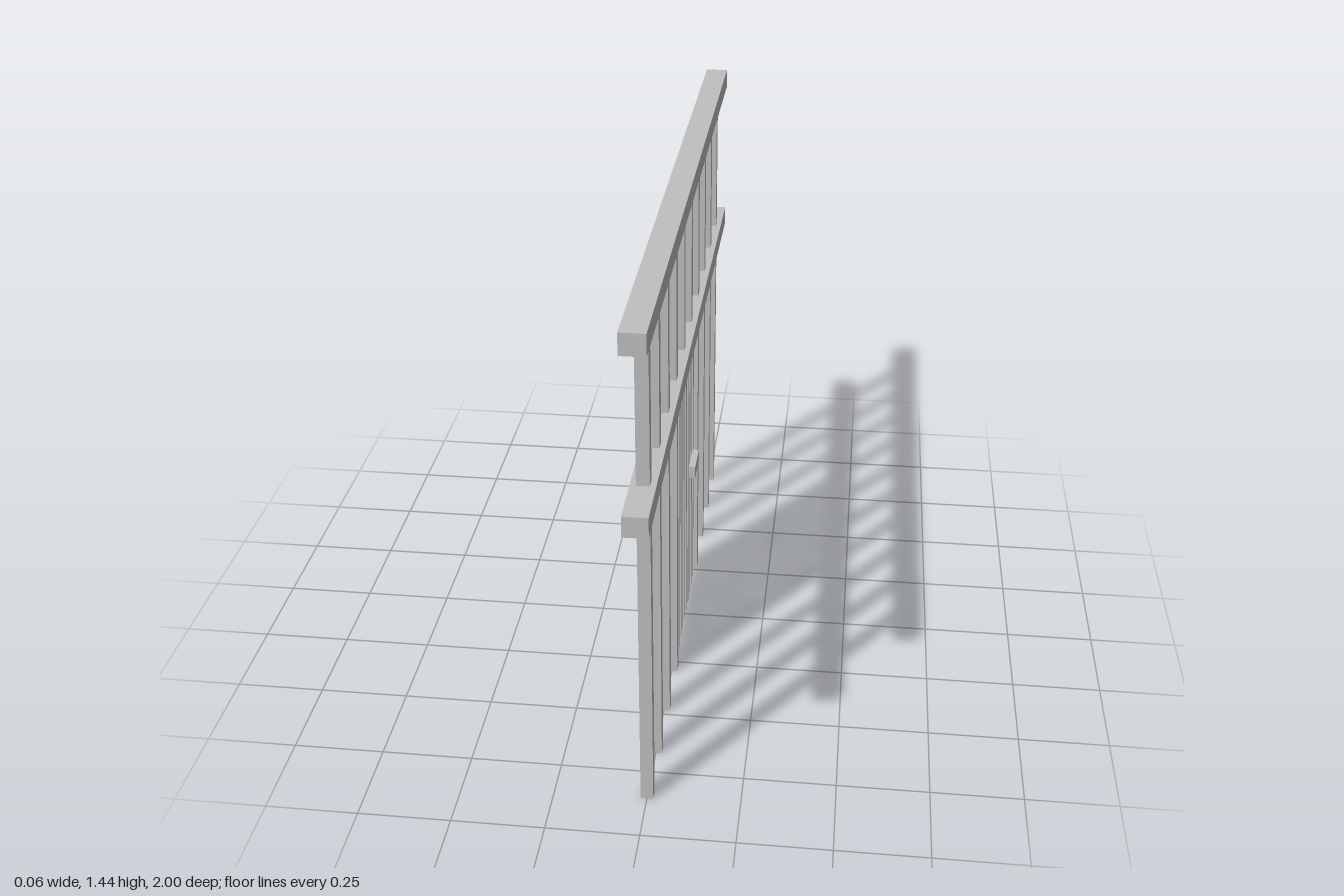
import * as THREE from 'three';

export function createModel() {
  const group = new THREE.Group();
  const grey = new THREE.MeshStandardMaterial({ color: 0xc0c0c0 });
  grey.name = 'light grey';

  // Box given its bottom and top heights
  const addBar = (name, width, depth, bottom, top, x, z) => {
    const mesh = new THREE.Mesh(new THREE.BoxGeometry(width, top - bottom, depth), grey);
    mesh.name = name;
    mesh.position.set(x, (bottom + top) / 2, z);
    group.add(mesh);
  };

  const rail = { width: 0.065, lowBottom: 0.909, lowTop: 0.966, highBottom: 1.381, highTop: 1.438 };

  // Two long horizontal rails
  addBar('middleRail', rail.width, 2, rail.lowBottom, rail.lowTop, 0, 0);
  addBar('topRail', rail.width, 2, rail.highBottom, rail.highTop, 0, 0);

  // Ten posts; the two in the middle stop above the gate
  for (let i = 0; i < 10; i++) {
    const z = 0.841 - i * 0.187;
    addBar('upperPost', 0.034, 0.031, rail.lowTop, rail.highBottom, 0, z);
    if (i !== 4 && i !== 5) addBar('lowerPost', 0.034, 0.031, 0, rail.lowBottom, 0, z);
  }

  // Thin bars of the gate
  for (let i = 0; i < 10; i++) {
    addBar('gateBar', 0.018, 0.018, 0, rail.lowBottom, 0, 0.218 - i * 0.048);
  }

  // Gate handle plate
  addBar('gateHandle', 0.019, 0.108, 0.436, 0.475, 0.0185, -0.146);

  return group;
}
